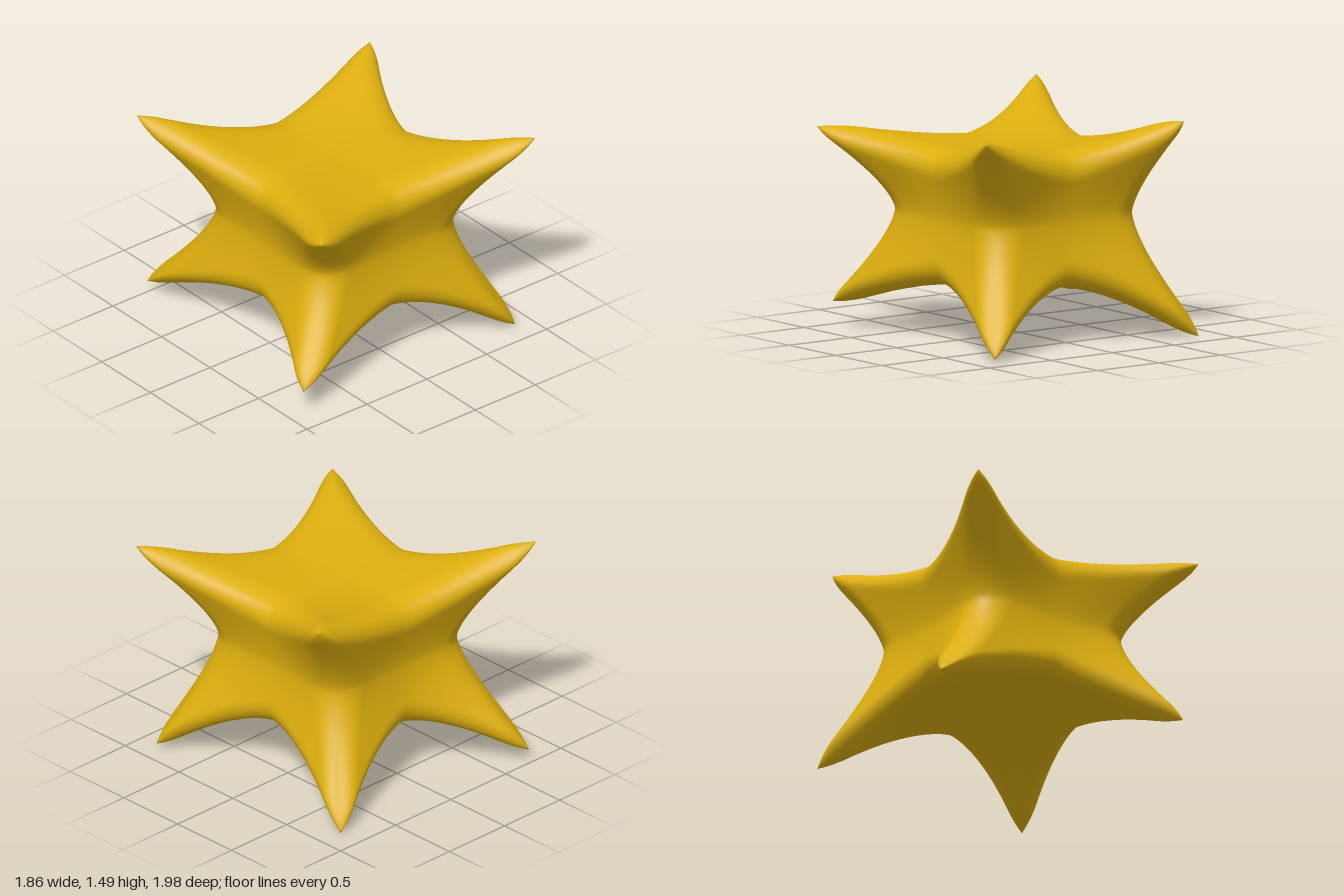
import * as THREE from 'three';
import { mergeVertices } from 'three/addons/utils/BufferGeometryUtils.js';

const CENTRE = [0, 0.82, 0.05];

// One tip per cube corner, ordered by x, then y, then z (negative first)
const TIPS = [
  [-0.72, 0.10, -0.99], [-0.90, 0.18, 0.84],
  [-0.93, 1.50, -0.84], [-0.87, 1.35, 0.99],
  [0.83, 0.01, -0.83], [0.86, 0.03, 0.85],
  [0.88, 1.45, -0.67], [0.93, 1.47, 0.97],
];

const WAIST = [0.68, 0.465, 0.695]; // half sizes at the middle of the edges
const HOLLOW = 0.93;                // how far the faces sink in
const GROOVE = 0.91;                // level groove around the sides
const TIP_ROUND = 0.2;
const EDGE_ROUND = 0.42;
const CORNER = 1 - TIP_ROUND + TIP_ROUND / Math.sqrt(3);

// Soften the unit cube, more in the middle of its edges than at the corners
function roundCube(p) {
  const least = Math.min(Math.abs(p.x), Math.abs(p.y), Math.abs(p.z));
  const r = THREE.MathUtils.lerp(EDGE_ROUND, TIP_ROUND, least);
  const q = p.clone().clampScalar(r - 1, 1 - r);
  return p.clone().sub(q).setLength(r).add(q);
}

// Keep a waisted core and draw each octant out towards its own tip
function warp(p) {
  const c = p.toArray();
  const tip = TIPS[(c[0] > 0 ? 4 : 0) + (c[1] > 0 ? 2 : 0) + (c[2] > 0 ? 1 : 0)];
  const ramp = c.map((v) => Math.min(1, Math.abs(v) / CORNER) ** 1.6);
  const groove = THREE.MathUtils.lerp(GROOVE, 1, ramp[1]);
  return c.map((v, i) => {
    const s = ramp[(i + 1) % 3], t = ramp[(i + 2) % 3];
    const core = WAIST[i] * groove * THREE.MathUtils.lerp(HOLLOW, 1, s + t - s * t);
    const reach = Math.abs(tip[i] - CENTRE[i]) / CORNER;
    return CENTRE[i] + v * THREE.MathUtils.lerp(core, reach, s * t);
  });
}

export function createModel() {
  const gold = new THREE.MeshStandardMaterial({ name: 'gold', color: 0xdcae0e });

  // Eight-pointed body
  let geometry = new THREE.BoxGeometry(2, 2, 2, 50, 50, 50);
  geometry.deleteAttribute('uv');
  geometry.deleteAttribute('normal');
  geometry.clearGroups();
  geometry = mergeVertices(geometry, 1e-4);
  const pos = geometry.attributes.position;
  const p = new THREE.Vector3();
  for (let i = 0; i < pos.count; i++) {
    p.fromBufferAttribute(pos, i);
    pos.setXYZ(i, ...warp(roundCube(p)));
  }

  // Stand on the ground, centred
  geometry.computeBoundingBox();
  const mid = geometry.boundingBox.getCenter(new THREE.Vector3());
  geometry.translate(-mid.x, -geometry.boundingBox.min.y, -mid.z);
  geometry.computeVertexNormals();

  const body = new THREE.Mesh(geometry, gold);
  body.name = 'eightPointedStarBody';
  const model = new THREE.Group();
  model.name = 'eightPointedStar';
  model.add(body);
  return model;
}
